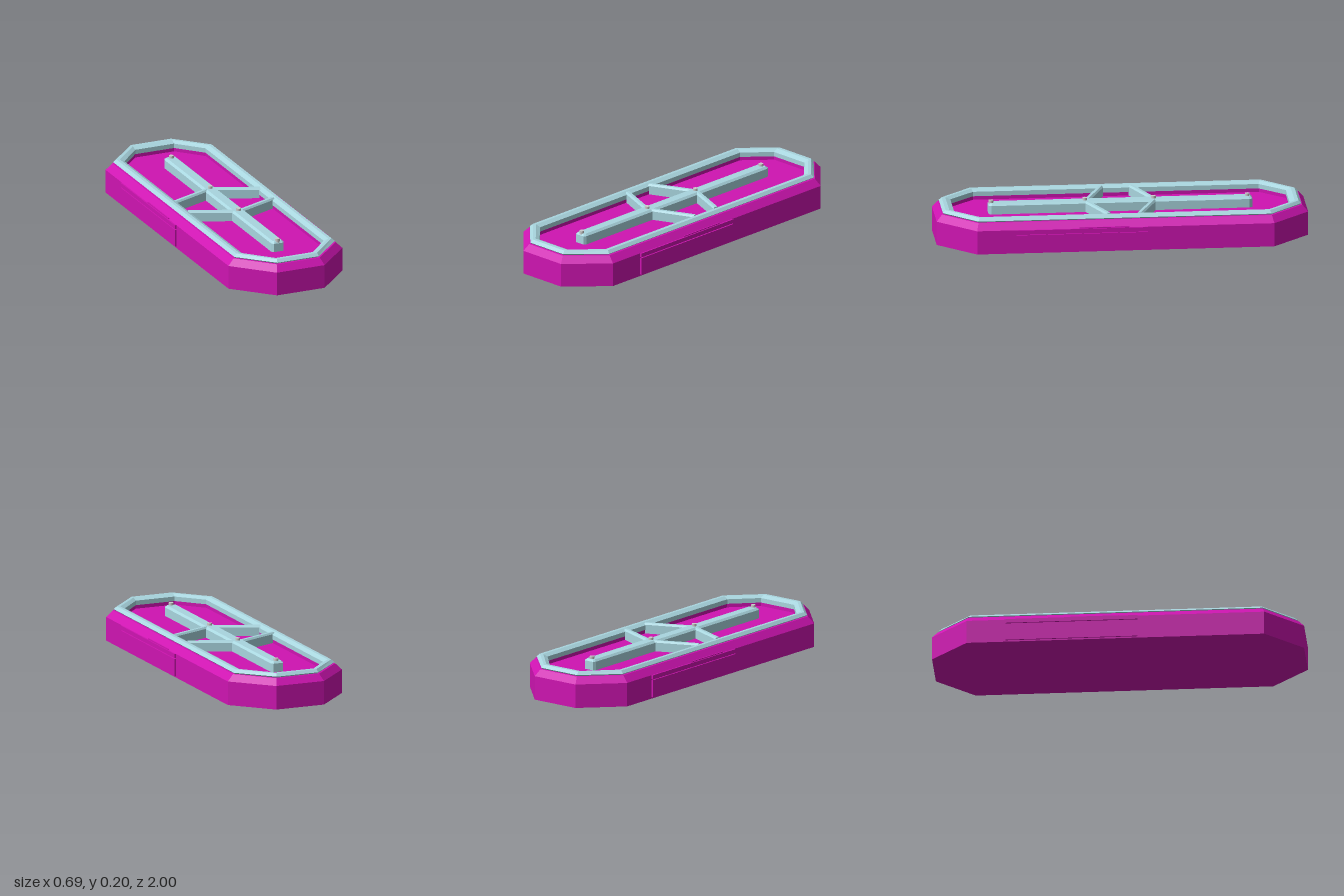
import * as THREE from 'three';

const body = new THREE.MeshStandardMaterial({ color: 0xcf14b2, flatShading: true });
const trim = new THREE.MeshStandardMaterial({ color: 0xa9d6df, flatShading: true });
const metal = new THREE.MeshStandardMaterial({ color: 0xcccccc });

// Elongated octagon: half width, half length, half width of the end, where the corner starts
const octagon = (w, l, cx, cz, y) =>
  [[cx, l], [w, cz], [w, -cz], [cx, -l], [-cx, -l], [-w, -cz], [-w, cz], [-cx, l]]
    .map(([x, z]) => [x, y, z]);

// Rectangle for the beams
const rect = (w, l, y) => [[w, l], [w, -l], [-w, -l], [-w, l]].map(([x, z]) => [x, y, z]);

// Skins a list of loops; ends are capped, or joined when the section is closed
function loft(name, loops, material, closed = false) {
  const n = loops[0].length, m = loops.length, pos = [];
  const tri = (a, b, c) => pos.push(...a, ...b, ...c);
  for (let j = 0; j < (closed ? m : m - 1); j++) {
    const lo = loops[j], hi = loops[(j + 1) % m];
    for (let i = 0; i < n; i++) {
      const k = (i + 1) % n;
      tri(lo[i], lo[k], hi[k]);
      tri(lo[i], hi[k], hi[i]);
    }
  }
  if (!closed) {
    for (let i = 1; i < n - 1; i++) {
      tri(loops[0][0], loops[0][i + 1], loops[0][i]);
      tri(loops[m - 1][0], loops[m - 1][i], loops[m - 1][i + 1]);
    }
  }
  const g = new THREE.BufferGeometry();
  g.setAttribute('position', new THREE.Float32BufferAttribute(pos, 3));
  g.computeVertexNormals();
  const mesh = new THREE.Mesh(g, material);
  mesh.name = name;
  return mesh;
}

function box(name, sx, sy, sz, x, y, z, material) {
  const mesh = new THREE.Mesh(new THREE.BoxGeometry(sx, sy, sz), material);
  mesh.position.set(x, y, z);
  mesh.name = name;
  return mesh;
}

export function createModel() {
  const model = new THREE.Group();
  model.name = 'tray';

  // Base with bevelled shoulder and shallow recess
  model.add(loft('base', [
    octagon(0.335, 1, 0.14, 0.8, 0),
    octagon(0.335, 1, 0.14, 0.8, 0.13),
    octagon(0.3, 0.97, 0.125, 0.79, 0.165),
    octagon(0.24, 0.905, 0.115, 0.77, 0.165),
    octagon(0.24, 0.905, 0.115, 0.77, 0.13),
  ], body));

  // Raised rim around the recess
  model.add(loft('rim', [
    octagon(0.238, 0.903, 0.114, 0.769, 0.15),
    octagon(0.285, 0.955, 0.12, 0.785, 0.163),
    octagon(0.296, 0.965, 0.122, 0.79, 0.172),
    octagon(0.28, 0.95, 0.118, 0.782, 0.187),
    octagon(0.262, 0.93, 0.116, 0.776, 0.187),
    octagon(0.238, 0.903, 0.114, 0.769, 0.175),
  ], trim, true));

  // Long central spine
  model.add(loft('spine', [
    octagon(0.037, 0.71, 0.028, 0.695, 0.13),
    octagon(0.037, 0.71, 0.028, 0.695, 0.177),
    octagon(0.025, 0.7, 0.018, 0.69, 0.187),
  ], trim));

  // Four slanted braces from spine to rim
  for (const sx of [-1, 1]) for (const sz of [-1, 1]) {
    const dx = 0.25, dz = -0.105, half = Math.hypot(dx, dz) / 2;
    const brace = loft('brace', [rect(0.016, half, 0.13), rect(0.016, half, 0.178), rect(0.008, half, 0.187)], trim);
    brace.position.set(sx * dx / 2, 0, sz * (0.187 + dz / 2));
    brace.rotation.y = Math.atan2(sx * dx, sz * dz);
    model.add(brace);
  }

  // Pins along the spine
  for (const z of [-0.685, -0.18, 0.19, 0.695]) {
    const pin = new THREE.Mesh(new THREE.CylinderGeometry(0.013, 0.013, 0.03, 12), metal);
    pin.position.set(0, 0.185, z);
    pin.name = 'pin';
    model.add(pin);
  }

  // Side panels, the same on both sides by a half turn
  for (const s of [-1, 1]) {
    model.add(box('sidePanel', 0.016, 0.095, 0.71, s * 0.335, 0.0555, s * 0.235, body));
    model.add(box('sideStrip', 0.016, 0.022, 0.71, s * 0.335, 0.119, s * 0.235, body));
    model.add(box('sideCatch', 0.016, 0.01, 0.27, s * 0.328, 0.13, s * 0.115, body));
  }
  return model;
}
